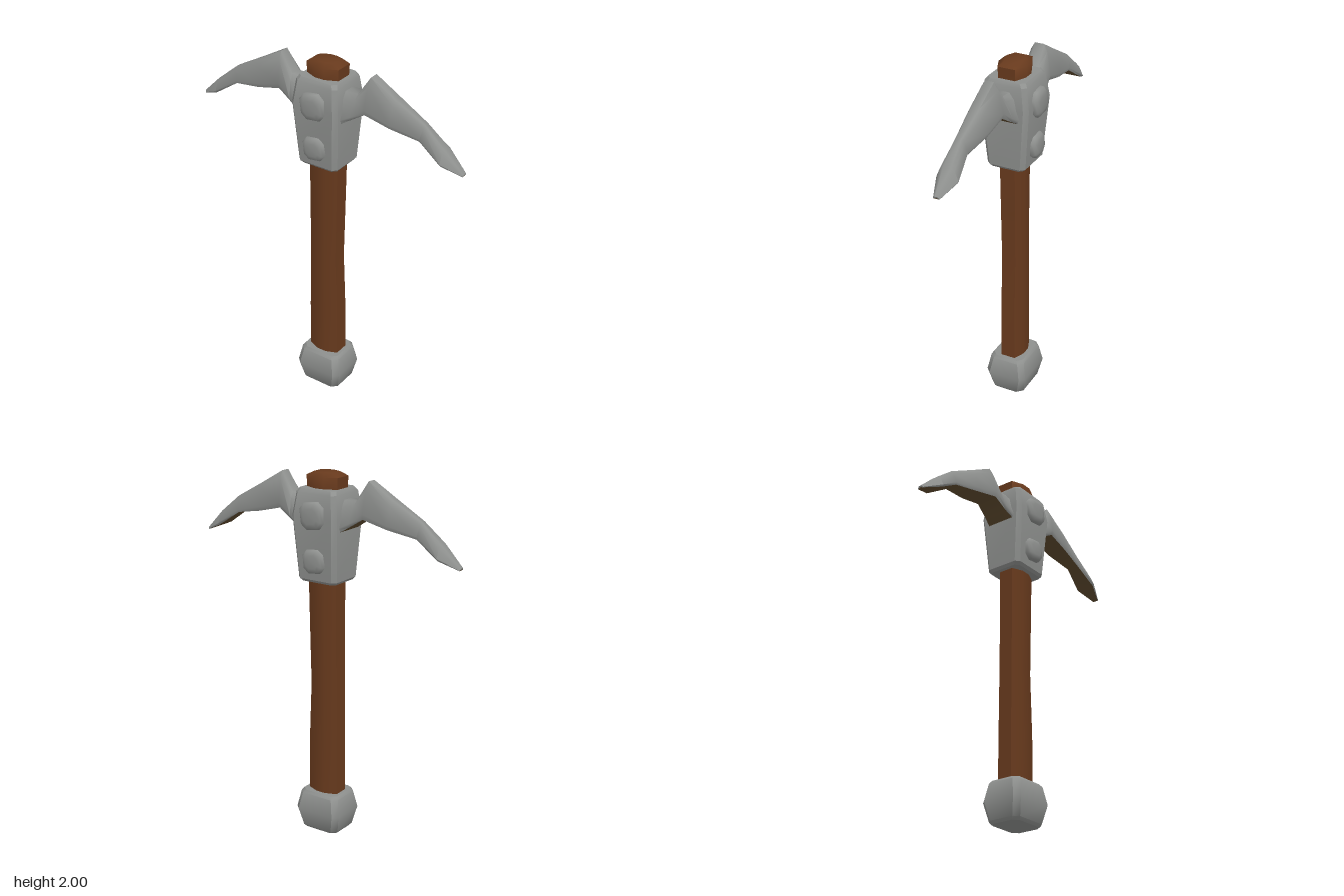
import * as THREE from 'three';
import { toCreasedNormals } from 'three/addons/utils/BufferGeometryUtils.js';

function colour(name, hex) {
  const m = new THREE.MeshStandardMaterial({ color: hex });
  m.name = name;
  return m;
}
const steel = colour('steel grey', 0x8e908e);
const wood = colour('brown wood', 0x683a1d);
const tarnish = colour('dark brown underside', 0x5e4a2e);

// Skin a list of equal-length rings and close both ends.
// Faces along ring edge "marked" use the second material.
function loft(rings, crease, marked = -1) {
  const pos = [];
  const tri = (a, b, c) => pos.push(...a, ...b, ...c);
  const n = rings[0].length;
  const centre = (r) => [0, 1, 2].map((k) => r.reduce((s, p) => s + p[k], 0) / n);
  const first = rings[0], last = rings[rings.length - 1];
  const c0 = centre(first), c1 = centre(last);
  for (let j = 0; j < n; j++) {
    const k = (j + 1) % n;
    for (let i = 0; i < rings.length - 1; i++) {
      const a = rings[i], b = rings[i + 1];
      tri(a[j], a[k], b[k]);
      tri(a[j], b[k], b[j]);
    }
    tri(c0, first[k], first[j]);
    tri(c1, last[j], last[k]);
  }
  const g = new THREE.BufferGeometry();
  g.setAttribute('position', new THREE.Float32BufferAttribute(pos, 3));
  const out = toCreasedNormals(g, crease);
  if (marked >= 0) {
    const strip = rings.length * 6;
    for (let j = 0; j < n; j++) out.addGroup(j * strip, strip, j === marked ? 1 : 0);
  }
  return out;
}

// Rectangle with cut corners at height y; w and d are half sizes.
function cutRect(y, w, d, cx, cz = cx, ox = 0) {
  return [[w, d - cz], [w - cx, d], [cx - w, d], [-w, d - cz],
    [-w, cz - d], [cx - w, -d], [w - cx, -d], [w, cz - d]].map(([x, v]) => [x + ox, y, -v]);
}

function part(parent, name, geometry, material) {
  const mesh = new THREE.Mesh(geometry, material);
  mesh.name = name;
  parent.add(mesh);
  return mesh;
}

export function createModel() {
  const model = new THREE.Group();
  model.name = 'pickaxe';

  // Slightly bent shaft: height, half width, half depth, sideways offset
  const shaft = [[0.1, 0.092, 0.068, 0], [0.5, 0.09, 0.066, 0], [0.85, 0.082, 0.064, -0.005],
    [1.15, 0.084, 0.066, 0], [1.45, 0.088, 0.069, 0.002], [1.9, 0.094, 0.074, 0],
    [1.98, 0.097, 0.078, 0], [2.0, 0.06, 0.05, 0]];
  part(model, 'handle', loft(shaft.map(([y, w, d, o]) => cutRect(y, w, d, w * 0.7, d * 0.38, o)), 1.1), wood);

  // Pommel block, bulging at mid height
  part(model, 'pommel', loft([[0.005, 0.105, 0.085], [0.02, 0.118, 0.098], [0.12, 0.14, 0.12],
    [0.215, 0.122, 0.102], [0.23, 0.11, 0.09]].map(([y, w, d]) => cutRect(y, w, d, 0.028)), 0.65), steel);

  // Tapered head block with bevelled rims
  part(model, 'headBlock', loft([[1.43, 0.108, 0.095], [1.445, 0.12, 0.108], [1.78, 0.14, 0.136],
    [1.9, 0.125, 0.118], [1.92, 0.113, 0.104]].map(([y, w, d]) => cutRect(y, w, d, 0.022)), 0.5), steel);

  // Domed rivets on front and back
  const rivet = (r) => loft([[-0.03, r], [0.012, r], [0.024, r * 0.86], [0.03, r * 0.55]]
    .map(([h, s]) => cutRect(h, s, s, s * 0.45)), 1.1);
  for (const side of [1, -1]) {
    for (const [y, r, z] of [[1.79, 0.07, 0.131], [1.55, 0.062, 0.118]]) {
      const m = part(model, side > 0 ? 'frontRivet' : 'backRivet', rivet(r), steel);
      m.position.set(0, y, side * z);
      m.rotation.x = side * Math.PI / 2;
      m.rotation.y = 0.12;
    }
  }

  // Blade stations: x of top, top y, x of bottom, bottom y, half depth
  const stations = [[0.1, 1.87, 0.1, 1.69, 0.1], [0.2, 1.875, 0.18, 1.74, 0.08],
    [0.27, 1.98, 0.26, 1.79, 0.071], [0.41, 1.9, 0.4, 1.755, 0.064],
    [0.575, 1.81, 0.56, 1.725, 0.04], [0.69, 1.715, 0.69, 1.64, 0.06], [0.8, 1.61, 0.795, 1.597, 0.018]];
  // Half section from top to bottom: height share, depth share
  const half = [[1, 0.35], [0.8, 0.65], [0.15, 1], [0, 0.88]];
  const section = [...half, ...half.map(([t, s]) => [t, -s]).reverse()];
  const bladeRings = stations.map(([xt, yt, xb, yb, d]) =>
    section.map(([t, s]) => [xb + (xt - xb) * t, yb + (yt - yb) * t, s * d]));
  const bladeGeometry = loft(bladeRings, 1.0, half.length - 1);
  part(model, 'leftBlade', bladeGeometry, [steel, tarnish]);
  part(model, 'rightBlade', bladeGeometry, [steel, tarnish]).rotation.y = Math.PI;

  return model;
}
